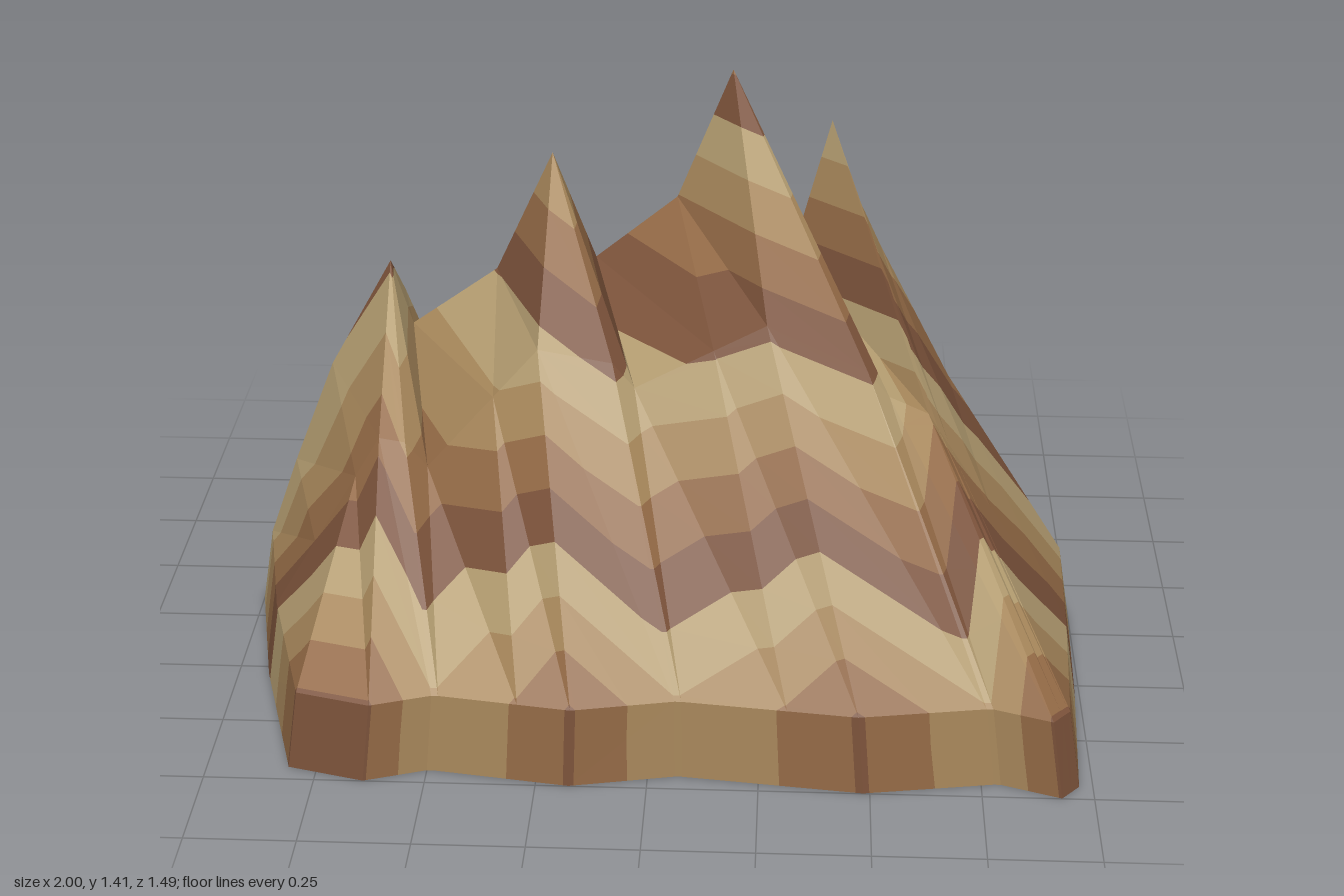
import * as THREE from 'three';

const RIM = 0.19, RIDGE_Z = -0.09, FRONT_Z = 0.28, BACK_Z = -0.33;
const STEP = 0.1; // thickness of one rock layer
const LAYERS = [
  ['paleRockLayer', 0xb39c70], ['darkRockLayer', 0x7b523a],
  ['brownRockLayer', 0x926945], ['tanRockLayer', 0xa6865a],
];

const lerp = THREE.MathUtils.lerp;
const mix = (a, b, t) => a.map((v, i) => lerp(v, b[i], t));

// Outline of the foot along the back, as x, z
const BACK_LINE = [[-0.84, -0.54], [-0.66, -0.54], [-0.61, -0.6], [-0.26, -0.65], [-0.17, -0.7],
  [0.16, -0.735], [0.39, -0.7], [0.72, -0.61]];
function backFoot(x) {
  const i = Math.max(1, BACK_LINE.findIndex((p) => p[0] >= x));
  const [a, b] = [BACK_LINE[i - 1], BACK_LINE[i]];
  return mix(a, b, (x - a[0]) / (b[0] - a[0]));
}

// A rib runs from the back foot over the ridge to the front foot.
// The lifts raise the layer pattern at the ridge and at the foot.
const rib = (ridge, front, foot, footLift) => ({
  ridge, front, foot, back: [ridge[0], ridge[1] * 0.81], heel: backFoot(ridge[0]), ridgeLift: 0, footLift,
});
const peak = (ridge, front, footX) => rib(ridge, front, [footX, 0.74], 0);
const gully = (ridge, front, footX) => rib(ridge, front, [footX, 0.69], 0.2);

const PEAKS = [
  peak([-0.65, 0.92], [-0.64, 0.63], -0.62),
  peak([-0.26, 1.2], [-0.27, 0.86], -0.17),
  peak([0.16, 1.41], [0.25, 0.93], 0.47),
  peak([0.39, 1.29], [0.62, 0.72], 0.9),
];
const GULLIES = [
  gully([-0.6, 0.76], [-0.53, 0.56], -0.47),
  gully([-0.16, 0.94], [-0.05, 0.77], 0.075),
  gully([0.3, 0.95], [0.53, 0.76], 0.77),
];

// Steep drop from a peak into the gully on its left
const cliff = (p, g) => ({
  ...p,
  front: [g.front[0] - 0.05, g.front[1] + 0.06],
  foot: [g.foot[0] - 0.015, g.foot[1]],
  heel: backFoot(g.ridge[0] - 0.01),
  footLift: 0.2,
});

// Bend in the ridge on the way up from a gully to the next peak
const knee = (g, p) => rib(
  [lerp(g.ridge[0], p.ridge[0], 0.6), lerp(g.ridge[1], p.ridge[1], 0.33)],
  mix(g.front, p.front, 0.6), mix(g.foot, p.foot, 0.6), 0.1);

// Outer flank of an end peak, running down the given ridge points to its tip
function flank(p, ridgePoints, tip) {
  return ridgePoints.map((ridge) => {
    const s = (p.ridge[1] - ridge[1]) / (p.ridge[1] - RIM);
    const corner = Math.min(1, s * 3.3);
    return {
      ridge,
      front: mix(p.front, [tip.frontX, RIM], s ** 1.5),
      foot: mix(p.foot, [tip.footX, 0.69], corner),
      back: mix(p.back, [tip.backX, RIM], s ** 0.65),
      heel: backFoot(lerp(p.ridge[0], tip.heelX, corner)),
      ridgeLift: 0.66 * s,
      footLift: 0,
    };
  });
}

// Keep the part of a polygon whose layer value is above (or below) a level
function clip(poly, level, sign) {
  const out = [];
  poly.forEach((a, i) => {
    const b = poly[(i + 1) % poly.length];
    const da = (a[3] - level) * sign, db = (b[3] - level) * sign;
    if (da >= 0) out.push(a);
    if ((da > 0 && db < 0) || (da < 0 && db > 0)) out.push(mix(a, b, da / (da - db)));
  });
  return out;
}

function area(...corners) {
  const [a, b, c] = corners.map(([x, y, z]) => new THREE.Vector3(x, y, z));
  return new THREE.Triangle(a, b, c).getArea();
}

export function createModel() {
  const group = new THREE.Group();
  group.name = 'layeredMountain';
  const positions = LAYERS.map(() => []);

  // Slice a triangle into layers and file each slice under its colour
  function addTriangle(a, b, c) {
    if (area(a, b, c) < 1e-6) return;
    const values = [a[3], b[3], c[3]];
    const first = Math.floor(Math.min(...values) / STEP);
    const last = Math.floor(Math.max(...values) / STEP);
    for (let k = first; k <= last; k++) {
      const slice = clip(clip([a, b, c], k * STEP, 1), (k + 1) * STEP, -1);
      for (let i = 1; i + 1 < slice.length; i++) {
        const corners = [slice[0], slice[i], slice[i + 1]];
        if (area(...corners) < 1e-9) continue;
        for (const [x, y, z] of corners) positions[k % LAYERS.length].push(x, y, z);
      }
    }
  }
  const addQuad = (a, b, c, d) => { addTriangle(a, b, c); addTriangle(a, c, d); };

  // All ribs in order of x: left flank, peaks with cliffs and gullies, other flank
  const ribs = flank(PEAKS[0], [[-0.97, RIM], [-0.9, 0.39], [-0.8, 0.65]],
    { frontX: -0.9, footX: -0.79, backX: -0.91, heelX: -0.84 });
  PEAKS.forEach((p, i) => {
    ribs.push(p);
    const g = GULLIES[i];
    if (g) ribs.push(cliff(p, g), g);
    if (i < 2) ribs.push(knee(g, PEAKS[i + 1]));
  });
  ribs.push(...flank(PEAKS[3], [[0.45, 1.11], [0.51, 0.98], [0.68, 0.65], [0.97, RIM]],
    { frontX: 0.96, footX: 0.94, backX: 0.85, heelX: 0.72 }));

  // Points of each rib; the fourth number is the layer value
  const lines = ribs.map(({ ridge, front, foot, back, heel, ridgeLift, footLift }) => {
    const midLift = (ridgeLift + footLift) / 2;
    return [
      [heel[0], RIM, heel[1], RIM + footLift],
      [back[0], back[1], BACK_Z, back[1] + midLift],
      [ridge[0], ridge[1], RIDGE_Z, ridge[1] + ridgeLift],
      [front[0], front[1], FRONT_Z, front[1] + midLift],
      [foot[0], RIM, foot[1], RIM + footLift],
    ];
  });

  // Slopes between neighbouring ribs
  for (let i = 0; i + 1 < lines.length; i++) {
    for (let j = 0; j < 4; j++) {
      addQuad(lines[i][j], lines[i][j + 1], lines[i + 1][j + 1], lines[i + 1][j]);
    }
  }

  // Low wall around the foot, open underneath
  const rim = [
    ...lines.map((l) => l[4]),
    ...lines.at(-1).slice(1, 4).reverse(),
    ...lines.map((l) => l[0]).reverse(),
    ...lines[0].slice(1, 4),
  ];
  const base = rim.map(([x, , z, layer]) => [x * 1.031, 0, z * 1.012, layer]);
  rim.forEach((p, i) => {
    const n = (i + 1) % rim.length;
    addQuad(base[i], base[n], rim[n], p);
  });

  LAYERS.forEach(([name, color], i) => {
    const geometry = new THREE.BufferGeometry();
    geometry.setAttribute('position', new THREE.Float32BufferAttribute(positions[i], 3));
    geometry.computeVertexNormals();
    const material = new THREE.MeshStandardMaterial({ color, flatShading: true, side: THREE.DoubleSide });
    const mesh = new THREE.Mesh(geometry, material);
    mesh.name = name;
    group.add(mesh);
  });
  return group;
}
